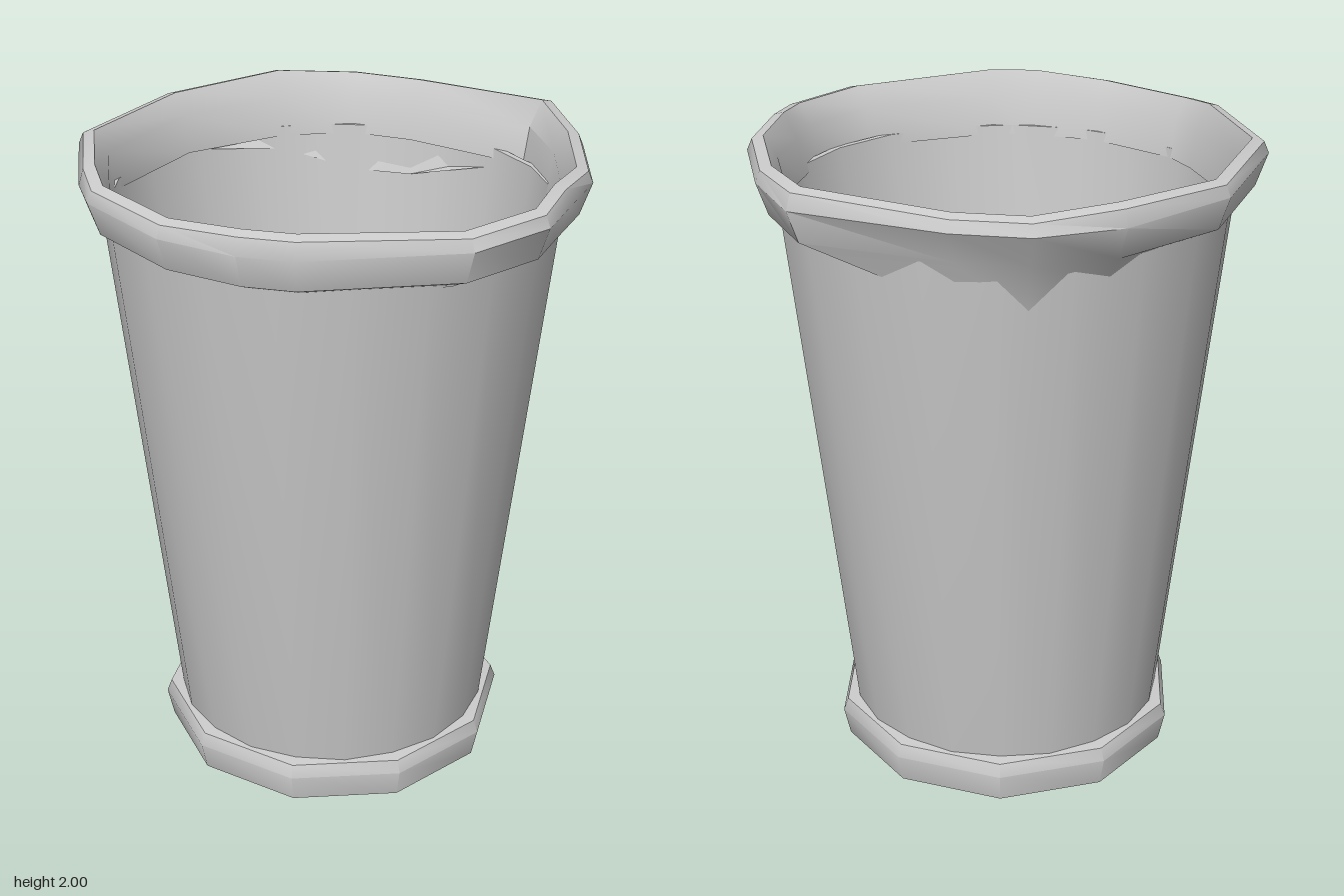
import * as THREE from 'three';
import { toCreasedNormals } from 'three/addons/utils/BufferGeometryUtils.js';

const material = new THREE.MeshStandardMaterial({ color: 0xcccccc, side: THREE.DoubleSide });

// Uneven hand-beaten outline of the rim, as [x, z] at radius 0.77
const rimOutline = [
  [0.08, 0.77], [0.53, 0.6], [0.7, 0.38], [0.73, 0.21], [0.77, 0], [0.7, -0.32],
  [0.58, -0.57], [0.13, -0.74], [-0.1, -0.77], [-0.35, -0.68], [-0.64, -0.41],
  [-0.78, 0.02], [-0.66, 0.36], [-0.59, 0.49], [-0.32, 0.7], [-0.08, 0.77],
];

function turned(name, profile, sides, reshape) {
  const points = profile.map(([r, y]) => new THREE.Vector2(r, y));
  const geometry = new THREE.LatheGeometry(points, sides);
  if (reshape) {
    const pos = geometry.attributes.position;
    for (let i = 0; i < pos.count; i++) {
      const side = Math.floor(i / points.length) % sides;
      const j = i % points.length;
      const [x, y, z] = reshape(side, j, points[j].x, points[j].y);
      pos.setXYZ(i, x, y, z);
    }
  }
  const mesh = new THREE.Mesh(toCreasedNormals(geometry, 0.75), material);
  mesh.name = name;
  return mesh;
}

export function createModel() {
  const cup = new THREE.Group();
  cup.name = 'cup';

  // Tapered thin wall with the inside floor
  cup.add(turned('wall', [
    [0.48, 0.06], [0.495, 0.14], [0.685, 1.83], [0.665, 1.83], [0.48, 0.1], [0, 0.1],
  ], 20));

  // Foot band with the closed underside
  cup.add(turned('foot', [
    [0, 0], [0.53, 0.01], [0.55, 0.1], [0.535, 0.14], [0.49, 0.145],
  ], 10));

  // Rolled rim; its underside runs down the wall as a flare at the back
  const rimProfile = [
    [0.67, 1.81], [0.735, 1.84], [0.77, 1.94], [0.755, 1.98], [0.72, 1.99], [0.68, 1.92], [0.66, 1.8],
  ];
  cup.add(turned('rim', rimProfile, rimOutline.length, (side, j, r, y) => {
    const [ox, oz] = rimOutline[side];
    const back = Math.max(0, -oz / Math.hypot(ox, oz)) ** 8;
    if (j === 0) { y -= 0.14 * back; r -= 0.02 * back; }
    if (j === 1) r -= 0.025 * back;
    if (j === 3 || j === 4) y += 0.01 * Math.cos(side * 2.1);
    const k = r / 0.77;
    return [ox * k, y, oz * k];
  }));

  return cup;
}
